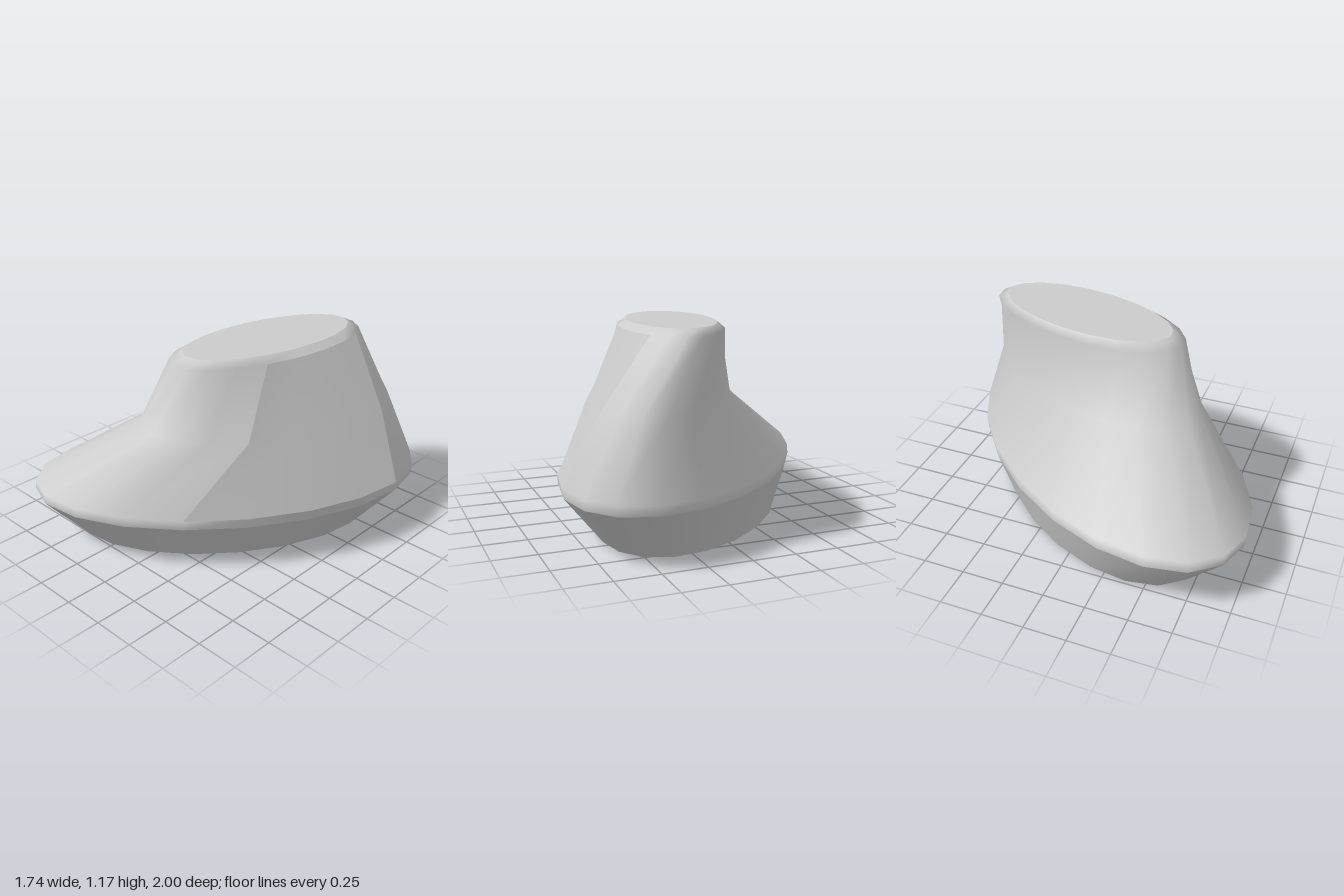
import * as THREE from 'three';

const SIDES = 20;
const PANEL = 4; // sides covered by the flatter side panel

// Slanted elliptical sections: height, centre, x radius, z shear, z radius, twist in degrees
const SECTIONS = [
  { y: 0.00, x: -0.05, z: -0.025, rx: 0.68, shear: -0.41, rz: 0.66, twist: 0 },
  { y: 0.29, x: -0.006, z: 0.004, rx: 0.868, shear: -0.53, rz: 0.84, twist: 0 },
  { y: 0.35, x: 0.003, z: 0.00, rx: 0.867, shear: -0.53, rz: 0.848, twist: 0 },
  { y: 0.74, x: 0.185, z: -0.15, rx: 0.505, shear: -0.36, rz: 0.635, twist: -8 },
  { y: 1.14, x: 0.14, z: -0.185, rx: 0.32, shear: -0.22, rz: 0.585, twist: -27 },
  { y: 1.175, x: 0.14, z: -0.19, rx: 0.272, shear: -0.20, rz: 0.515, twist: -27 },
];

function sectionPoints(s) {
  const points = [];
  for (let j = 0; j < SIDES; j++) {
    const t = (j / SIDES) * Math.PI * 2 + THREE.MathUtils.degToRad(s.twist);
    points.push(s.x + s.rx * Math.cos(t), s.y, s.z + s.shear * Math.cos(t) + s.rz * Math.sin(t));
  }
  return points;
}

function finish(positions, index) {
  const geometry = new THREE.BufferGeometry();
  geometry.setAttribute('position', new THREE.Float32BufferAttribute(positions, 3));
  geometry.setIndex(index);
  geometry.computeVertexNormals();
  return geometry;
}

// Skin between successive sections; keep(row, side) chooses the faces
function loft(sections, keep = () => true) {
  const index = [];
  for (let r = 0; r < sections.length - 1; r++) {
    for (let j = 0; j < SIDES; j++) {
      if (!keep(r, j)) continue;
      const a = r * SIDES + j;
      const b = r * SIDES + ((j + 1) % SIDES);
      index.push(a, a + SIDES, b, b, a + SIDES, b + SIDES);
    }
  }
  return finish(sections.flatMap(sectionPoints), index);
}

// Flat lid over one section
function cap(s, up) {
  const index = [];
  for (let j = 0; j < SIDES; j++) {
    const k = (j + 1) % SIDES;
    index.push(SIDES, up ? k : j, up ? j : k);
  }
  return finish([...sectionPoints(s), s.x, s.y, s.z], index);
}

// Pull the normals toward their mean so the panel reads as one plane
function evenNormals(geometry, amount) {
  const normals = geometry.attributes.normal;
  const mean = new THREE.Vector3();
  const n = new THREE.Vector3();
  for (let i = 0; i < normals.count; i++) mean.add(n.fromBufferAttribute(normals, i));
  mean.normalize();
  for (let i = 0; i < normals.count; i++) {
    n.fromBufferAttribute(normals, i).lerp(mean, amount).normalize();
    normals.setXYZ(i, n.x, n.y, n.z);
  }
  return geometry;
}

export function createModel() {
  const model = new THREE.Group();
  model.name = 'slantedPedestal';
  const material = new THREE.MeshStandardMaterial({ color: 0xcccccc });
  const add = (name, geometry) => {
    const mesh = new THREE.Mesh(geometry, material);
    mesh.name = name;
    model.add(mesh);
  };

  // Flared foot
  add('bottom', cap(SECTIONS[0], false));
  add('foot', loft(SECTIONS.slice(0, 2)));

  // Rim, sloping body and rounded upper edge, leaving room for the panel
  add('body', loft(SECTIONS.slice(1), (r, j) => r === 0 || r === 3 || j >= PANEL));

  // Side panel with crisp borders
  const panel = loft(SECTIONS.slice(2, 5), (r, j) => j < PANEL);
  add('sidePanel', evenNormals(panel, 0.7));

  // Flat top
  add('top', cap(SECTIONS[5], true));
  return model;
}
